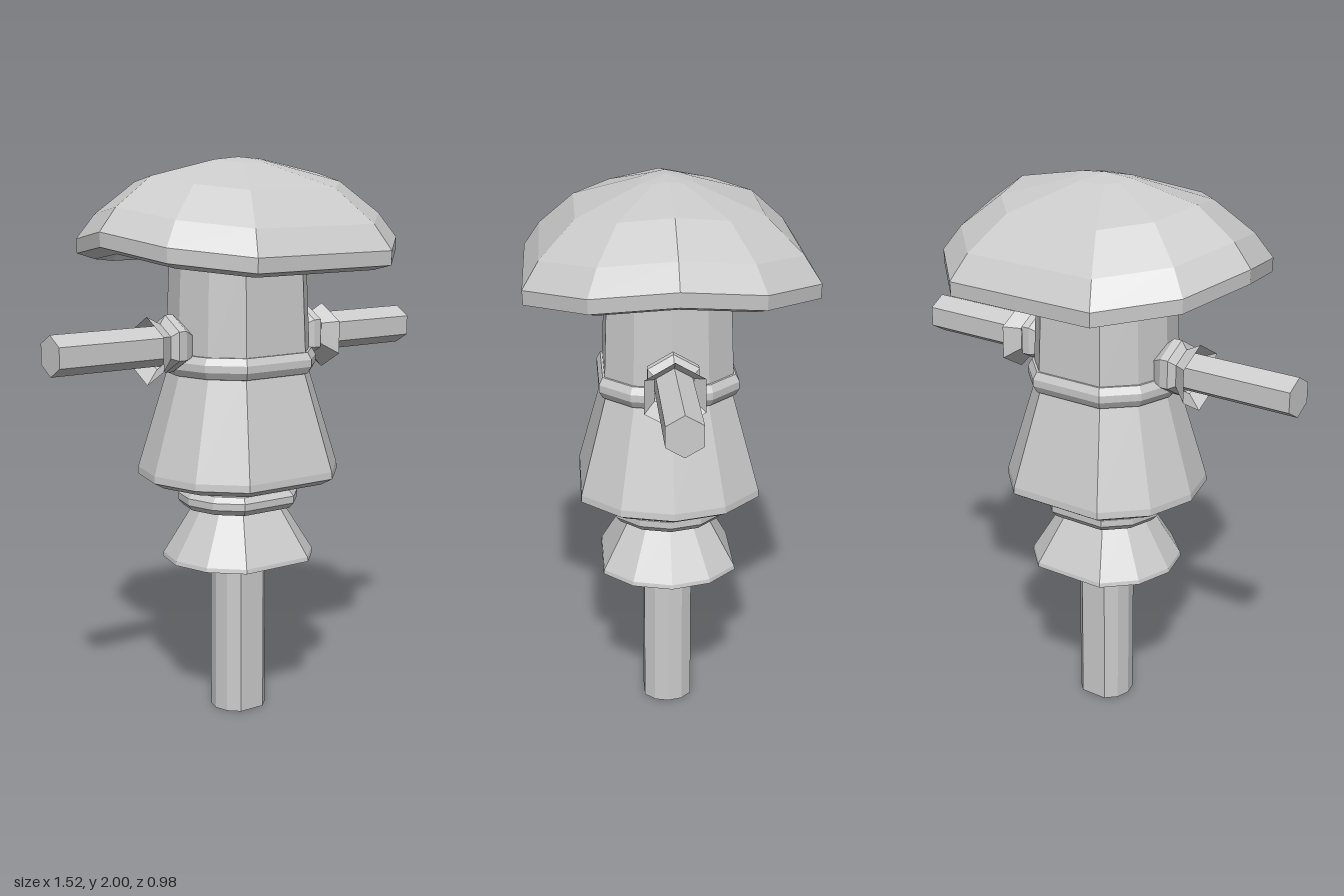
import * as THREE from 'three';

const material = new THREE.MeshStandardMaterial({ color: 0xcccccc, flatShading: true, side: THREE.DoubleSide });
const rad = THREE.MathUtils.degToRad;

// Twelve-sided section with the front and back corners dropped, giving wide flat faces.
const BODY = [0, 30, 60, 120, 150, 180, 210, 240, 300, 330].map(rad);
const HEX = [0, 60, 120, 180, 240, 300].map(rad);

// Skins rings of [radius, height, sideways shift], listed from the bottom outward and up.
// droop lowers points in proportion to their distance from the x axis.
function loft(name, profile, angles, droop = 0) {
  const n = angles.length;
  const positions = [];
  const index = [];
  for (const [r, y, shift = 0] of profile) {
    for (const a of angles) {
      const z = -r * Math.sin(a);
      positions.push(r * Math.cos(a) + shift, y - droop * Math.abs(z), z);
    }
  }
  for (let j = 0; j < profile.length - 1; j++) {
    for (let i = 0; i < n; i++) {
      const k = (i + 1) % n;
      const a = j * n + i, b = j * n + k, c = a + n, d = b + n;
      if (profile[j][0] > 0) index.push(a, b, d);
      if (profile[j + 1][0] > 0) index.push(a, d, c);
    }
  }
  const geometry = new THREE.BufferGeometry();
  geometry.setAttribute('position', new THREE.Float32BufferAttribute(positions, 3));
  geometry.setIndex(index);
  const flat = geometry.toNonIndexed();
  flat.computeVertexNormals();
  const mesh = new THREE.Mesh(flat, material);
  mesh.name = name;
  return mesh;
}

// One arm along +x: hexagonal stick with a banded, flared cuff.
function makeArm(name) {
  const arm = new THREE.Group();
  arm.name = name;
  const stick = loft('armStick', [[0.07, 0.18], [0.07, 0.76], [0, 0.76]], HEX);
  const cuff = loft('cuff', [
    [0.055, 0.22], [0.08, 0.25], [0.1, 0.28, -0.005], [0.1, 0.31, -0.005],
    [0.075, 0.33], [0.118, 0.385, 0.015], [0.075, 0.345, 0.005],
  ], HEX);
  for (const part of [stick, cuff]) {
    part.rotation.z = -Math.PI / 2;
    part.position.y = 1.365;
    arm.add(part);
  }
  return arm;
}

export function createModel() {
  const model = new THREE.Group();
  model.name = 'scarecrow';

  // Pole and the hollow bell gathered by a tie above it
  model.add(loft('pole', [[0, 0], [0.1, 0], [0.1, 0.85]], BODY));
  model.add(loft('lowerBell', [[0.1, 0.72], [0.255, 0.58], [0.275, 0.575], [0.272, 0.59], [0.16, 0.77]], BODY));
  model.add(loft('lowerTie', [[0.15, 0.76], [0.2, 0.765], [0.217, 0.785], [0.217, 0.81], [0.2, 0.83], [0.15, 0.835]], BODY));

  // Skirt, belt and head
  model.add(loft('skirt', [[0.1, 0.835], [0.2, 0.843], [0.32, 0.862], [0.362, 0.885], [0.36, 0.91], [0.25, 1.27]], BODY));
  model.add(loft('belt', [[0.24, 1.25], [0.265, 1.255], [0.28, 1.28], [0.28, 1.305], [0.265, 1.33], [0.24, 1.33]], BODY));
  model.add(loft('head', [[0.258, 1.3], [0.243, 1.66], [0.24, 1.85]], BODY));
  model.add(loft('hatBand', [[0.235, 1.69], [0.27, 1.7], [0.285, 1.73], [0.27, 1.77], [0.235, 1.79]], BODY, 0.05));

  // Faceted hat with a hollow underside, drooping to front and back
  model.add(loft('hat', [
    [0.22, 1.84], [0.36, 1.8], [0.46, 1.735], [0.5, 1.685], [0.563, 1.71], [0.565, 1.76],
    [0.5, 1.84], [0.36, 1.94], [0.1, 1.992], [0, 2],
  ], BODY, 0.14));

  // Mirrored arms
  const leftArm = makeArm('leftArm');
  const rightArm = makeArm('rightArm');
  rightArm.rotation.y = Math.PI;
  model.add(leftArm, rightArm);

  return model;
}
